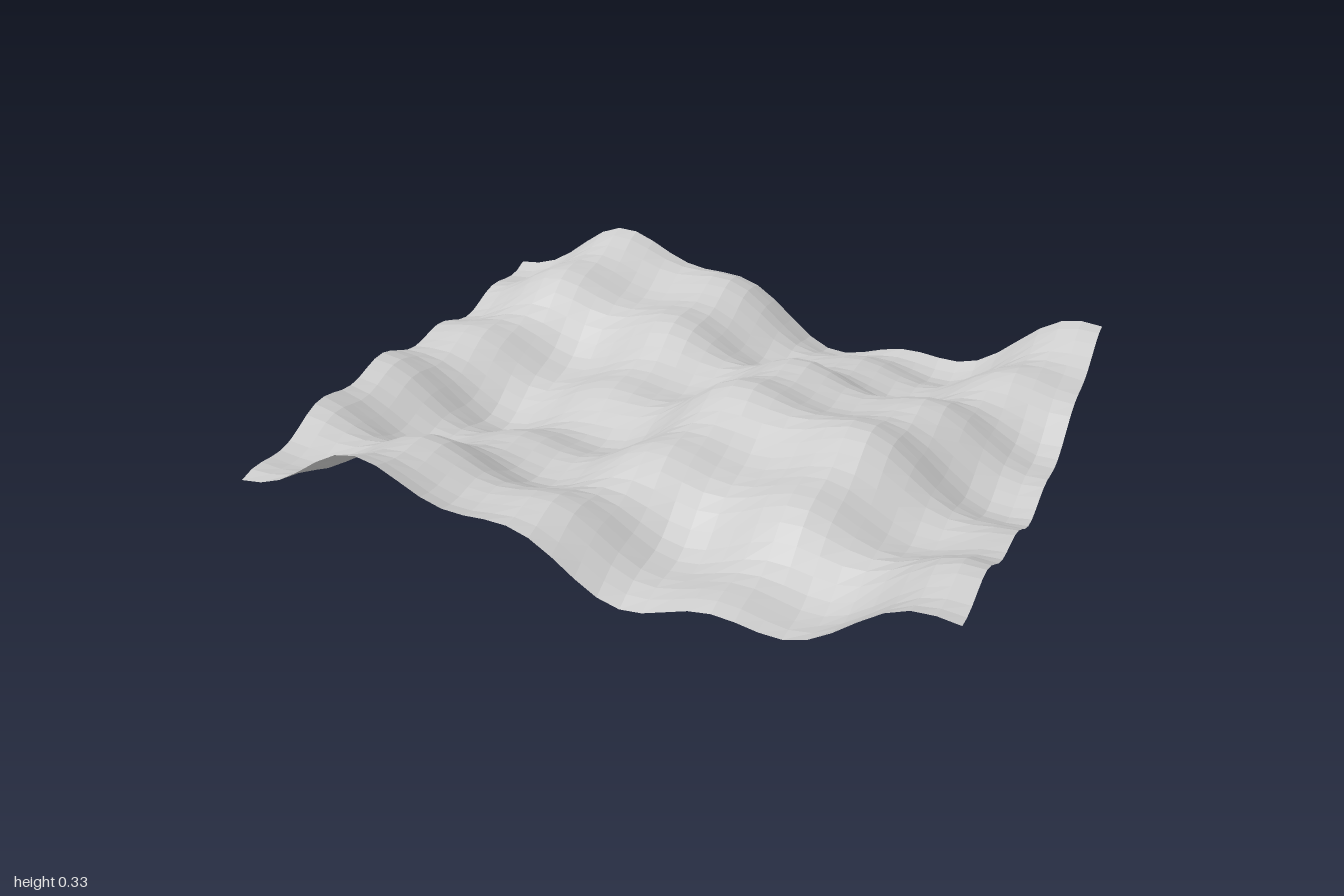
import * as THREE from 'three';

const WIDTH = 2, DEPTH = 1.63;

// Height: a broad egg-crate wave plus two slanted ripples, one mostly along x, one along z
function height(x, z) {
  const broad = 0.122 * Math.sin(3.6 * (x + 0.1)) * Math.cos(3.83 * (z - 0.045));
  const rippleX = 0.035 * Math.sin(12.6 * x + 4.0 * z + 0.13);
  const rippleZ = 0.018 * Math.cos(18.3 * z - 4.5 * x);
  return broad + rippleX + rippleZ;
}

export function createModel() {
  const group = new THREE.Group();
  group.name = 'wavySurface';

  const grey = new THREE.MeshStandardMaterial({ color: 0xcccccc, side: THREE.DoubleSide, flatShading: true });
  grey.name = 'light grey';

  // Open rectangular sheet, raised vertex by vertex
  const sheet = new THREE.PlaneGeometry(WIDTH, DEPTH, 32, 36).rotateX(-Math.PI / 2);
  const p = sheet.attributes.position;
  for (let i = 0; i < p.count; i++) p.setY(i, height(p.getX(i), p.getZ(i)));
  sheet.computeVertexNormals();

  // Rest the lowest point on the ground
  sheet.computeBoundingBox();
  sheet.translate(0, -sheet.boundingBox.min.y, 0);

  const terrain = new THREE.Mesh(sheet, grey);
  terrain.name = 'terrainSheet';
  group.add(terrain);
  return group;
}
